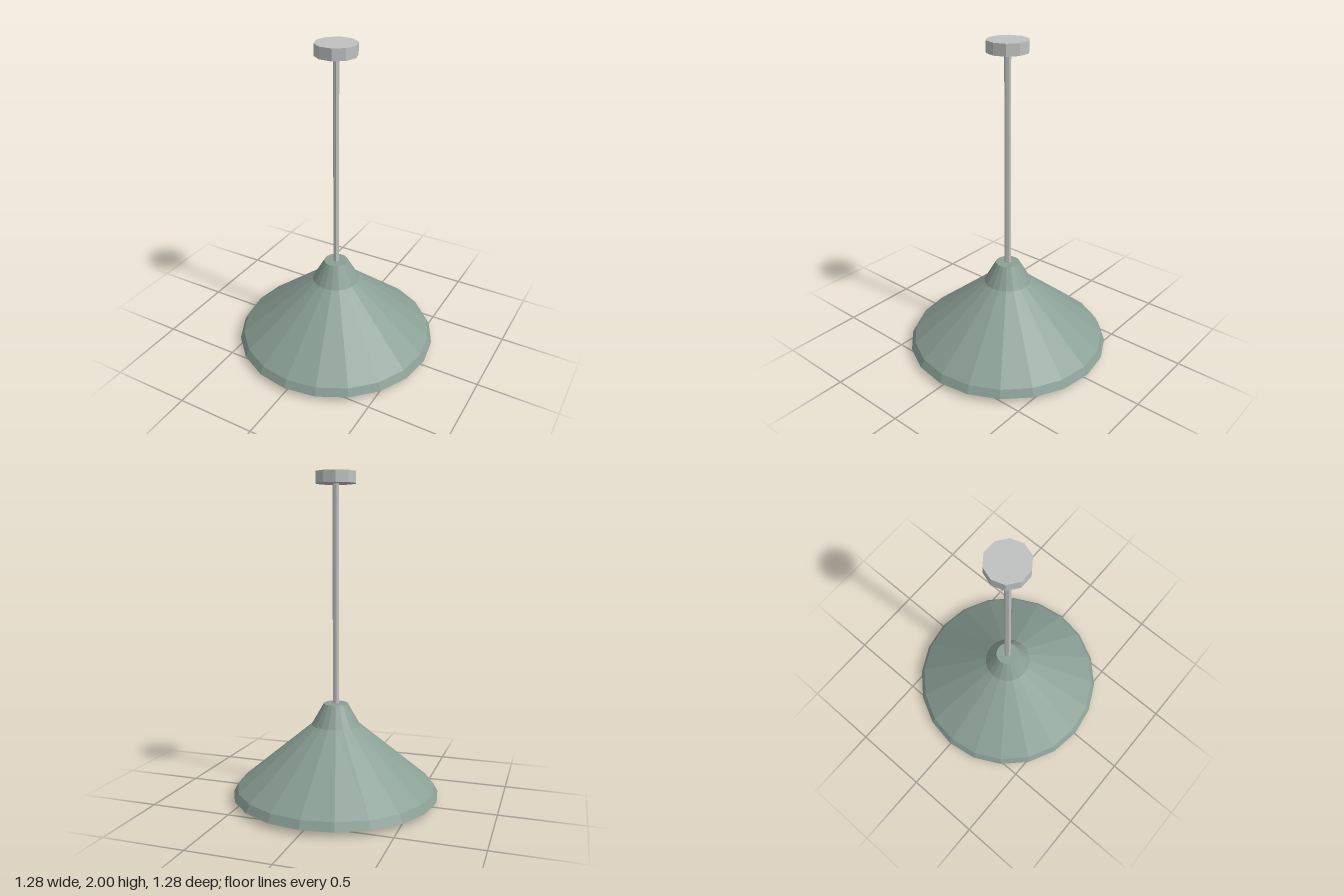
import * as THREE from 'three';

export function createModel() {
  const group = new THREE.Group();
  group.name = 'pendantLamp';

  const flat = (name, color) => {
    const m = new THREE.MeshStandardMaterial({ color });
    m.name = name;
    m.flatShading = true;
    return m;
  };
  const sage = flat('sageEnamel', 0x8a9f95);
  const metal = flat('greyMetal', 0xbfc1c1);
  const glass = flat('warmGlass', 0xd6cec8);

  const add = (name, geometry, material, y = 0) => {
    const mesh = new THREE.Mesh(geometry, material);
    mesh.name = name;
    mesh.position.y = y;
    group.add(mesh);
  };

  // Faceted prism with a corner on the x axis
  const prism = (radius, bottom, top, sides) =>
    new THREE.CylinderGeometry(radius, radius, top - bottom, sides)
      .rotateY(Math.PI / 2)
      .translate(0, (top + bottom) / 2, 0);

  // Ceiling canopy and rod
  add('canopy', prism(0.125, 1.93, 2, 10), metal);
  add('rod', prism(0.02, 0.58, 1.94, 6), metal);

  // Shade, closed below and at the neck
  const profile = [[0, 0.032], [0.64, 0.032], [0.615, 0.08], [0.15, 0.465], [0.075, 0.597], [0, 0.597]]
    .map(([x, y]) => new THREE.Vector2(x, y));
  add('shade', new THREE.LatheGeometry(profile, 20), sage);

  // Bulb, its tip showing below the shade
  add('bulb', new THREE.SphereGeometry(0.16, 8, 5), glass, 0.16);

  return group;
}
